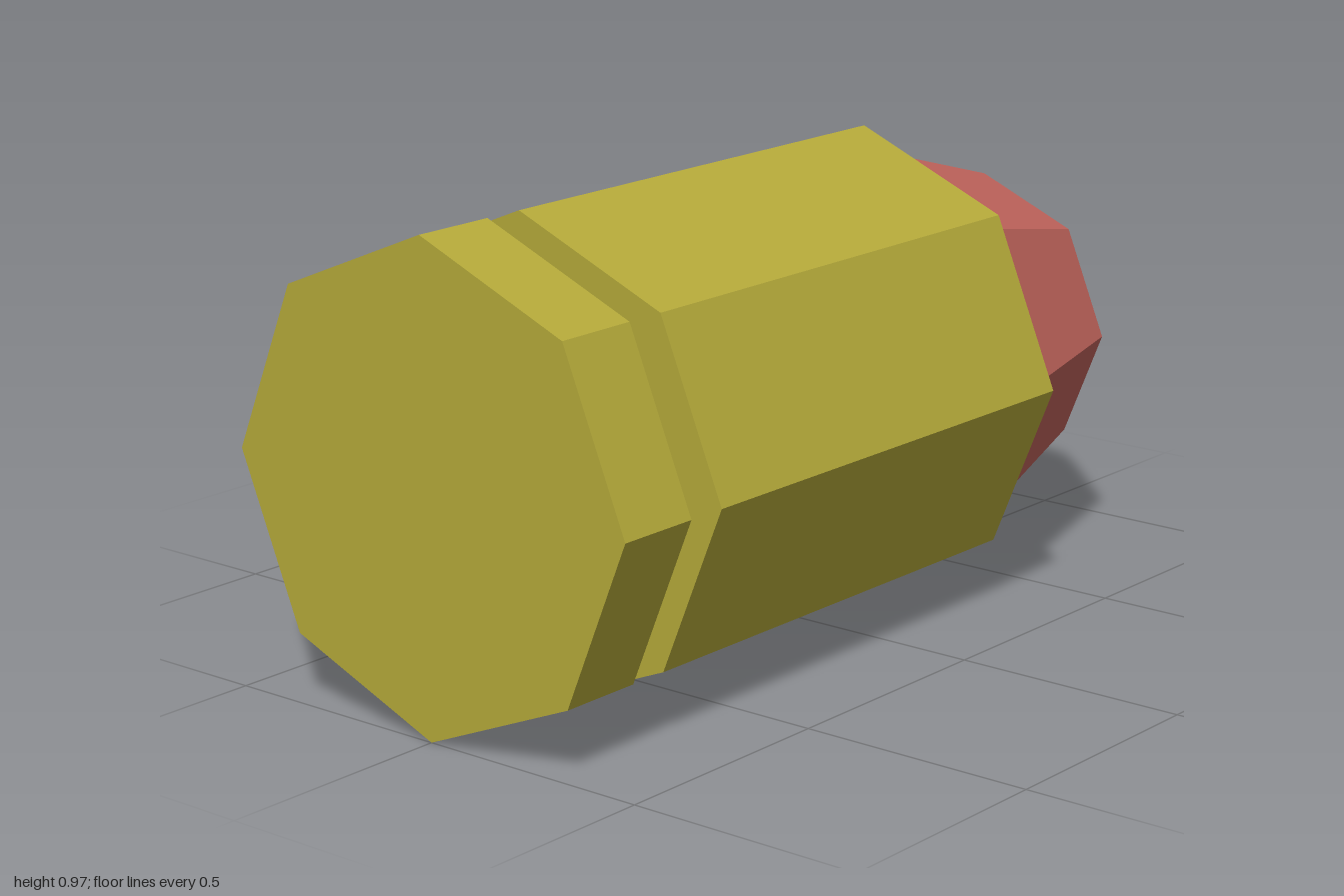
import * as THREE from 'three';

const SIDES = 8;
const RADIUS = 0.485;

const brass = new THREE.MeshStandardMaterial({ color: 0xb5aa3a, flatShading: true });
const red = new THREE.MeshStandardMaterial({ color: 0xc4665e, flatShading: true });

// Eight-sided solid turned from a [radius, z] profile, listed from front (+z) to back (-z)
function turned(name, profile, material) {
  const points = profile.map(([r, z]) => new THREE.Vector2(r, -z));
  const geometry = new THREE.LatheGeometry(points, SIDES).toNonIndexed();
  geometry.rotateX(-Math.PI / 2);
  geometry.computeVertexNormals();
  const mesh = new THREE.Mesh(geometry, material);
  mesh.name = name;
  mesh.position.y = RADIUS;
  return mesh;
}

// Closed prism between two z positions
const prism = (name, r, front, back) =>
  turned(name, [[0, front], [r, front], [r, back], [0, back]], brass);

export function createModel() {
  const model = new THREE.Group();
  model.name = 'cartridge';

  // Casing: base rim, stepped groove and main body
  model.add(
    prism('baseRim', RADIUS, 1, 0.82),
    prism('grooveCollar', 0.245, 0.82, 0.77),
    prism('grooveNeck', 0.207, 0.77, 0.735),
    prism('casingBody', RADIUS, 0.735, -0.315),
  );

  // Faceted tip, narrowing in three steps to a small flat end
  model.add(turned('tip', [
    [0.437, -0.315], [0.314, -0.745], [0.1, -0.95], [0.018, -1], [0, -1],
  ], red));

  return model;
}
